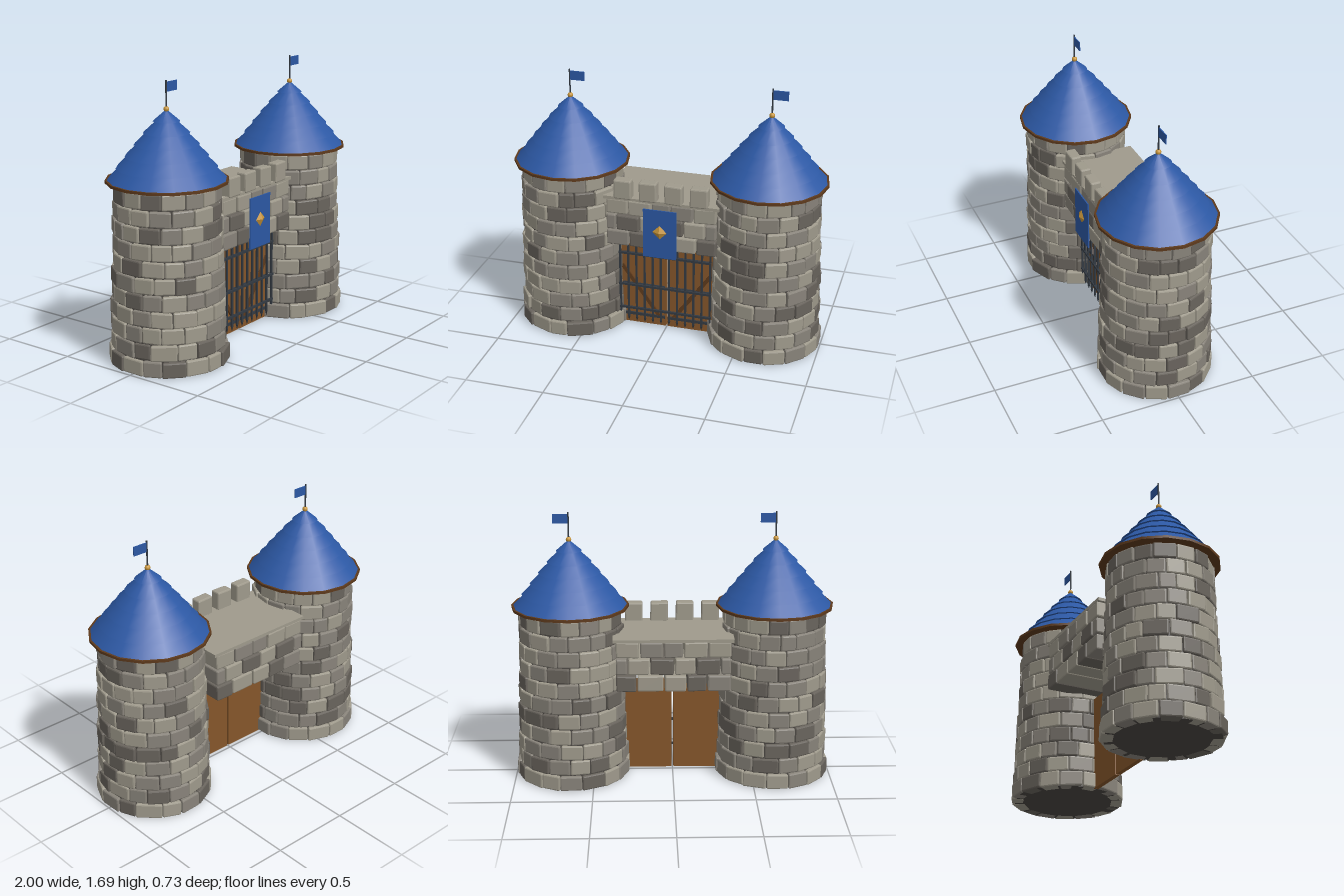
import * as THREE from 'three';
import { mergeGeometries } from 'three/addons/utils/BufferGeometryUtils.js';
import { RoundedBoxGeometry } from 'three/addons/geometries/RoundedBoxGeometry.js';

const flat = (name, color) => {
  const m = new THREE.MeshStandardMaterial({ color });
  m.name = name;
  return m;
};

export function createModel() {
  const mats = {
    lightStone: flat('light stone', 0x9f9a8c),
    midStone: flat('mid stone', 0x88837a),
    darkStone: flat('dark stone', 0x69645d),
    mortar: flat('dark mortar', 0x4a4642),
    roof: flat('blue', 0x2c58a4),
    trim: flat('dark timber', 0x5e3a1c),
    wood: flat('door wood', 0x85562a),
    iron: flat('iron', 0x333a42),
    gold: flat('gold', 0xc9963a),
  };
  const stoneMats = [mats.lightStone, mats.midStone, mats.darkStone];

  let seed = 7;
  const rand = () => {
    seed = (seed * 16807) % 2147483647;
    return seed / 2147483647;
  };
  const vary = (amount) => (rand() * 2 - 1) * amount;

  const add = (parent, name, geo, mat, x = 0, y = 0, z = 0) => {
    const mesh = new THREE.Mesh(geo, mat);
    mesh.name = name;
    mesh.position.set(x, y, z);
    parent.add(mesh);
    return mesh;
  };
  const box = (parent, name, w, h, d, mat, x, y, z) =>
    add(parent, name, new THREE.BoxGeometry(w, h, d), mat, x, y, z);

  // Chamfered stone with slightly skewed faces; wedge narrows it toward its back
  function stone(w, h, d, wedgeRadius = 0) {
    const geo = new RoundedBoxGeometry(w, h, d, 1, 0.009);
    const p = geo.attributes.position;
    const skewX = vary(0.03), skewY = vary(0.04), tilt = vary(0.04);
    for (let i = 0; i < p.count; i++) {
      const x = p.getX(i), y = p.getY(i), z = p.getZ(i);
      const s = wedgeRadius ? 1 + z / wedgeRadius : 1;
      p.setXYZ(i, x * s + y * skewX, y + x * skewY, z + (z > 0 ? x * tilt : 0));
    }
    const out = geo.index ? geo.toNonIndexed() : geo;
    out.computeVertexNormals();
    return out;
  }

  // Collects stones by shade and merges each shade into one mesh
  function stonePile() {
    const piles = [[], [], []];
    return {
      put(geo) {
        const r = rand();
        piles[r < 0.42 ? 0 : r < 0.76 ? 1 : 2].push(geo);
      },
      build(parent, name) {
        piles.forEach((list, i) => {
          if (list.length) add(parent, name, mergeGeometries(list), stoneMats[i]);
        });
      },
    };
  }

  function tower(x, name) {
    const g = new THREE.Group();
    g.name = name;
    g.position.x = x;

    // Stone courses around a dark core
    add(g, 'towerCore', new THREE.CylinderGeometry(0.3, 0.338, 1.09, 32), mats.mortar, 0, 0.55, 0);
    const pile = stonePile();
    const courses = 11, count = 16, courseH = 0.1, depth = 0.08;
    for (let c = 0; c < courses; c++) {
      const outer = (c === 0 ? 0.358 : 0.35 - 0.003 * c);
      const mid = outer - depth / 2;
      const edges = [];
      for (let i = 0; i < count; i++) {
        edges.push((i + (c % 2) * 0.5 + 0.5 + vary(0.13)) * Math.PI * 2 / count);
      }
      edges.push(edges[0] + Math.PI * 2);
      for (let i = 0; i < count; i++) {
        const angle = (edges[i] + edges[i + 1]) / 2;
        const width = 2 * mid * Math.tan((edges[i + 1] - edges[i]) / 2) - 0.005;
        const geo = stone(width, courseH - 0.004 + vary(0.002), depth, mid);
        geo.translate(0, 0.052 + c * courseH * 0.99, mid - 0.003 + vary(0.005));
        geo.rotateY(angle);
        pile.put(geo);
      }
    }
    pile.build(g, 'towerStones');

    // Eave and overlapping roof tiers
    add(g, 'eave', new THREE.CylinderGeometry(0.365, 0.365, 0.016, 16), mats.trim, 0, 1.104, 0);
    const radii = [0.352, 0.3, 0.247, 0.193, 0.138, 0.08];
    const tierH = 0.068;
    radii.forEach((r, i) => {
      const top = i < 5 ? radii[i + 1] - 0.016 : 0.002;
      add(g, 'roofTier', new THREE.CylinderGeometry(top, r, tierH, 16), mats.roof, 0, 1.112 + (i + 0.5) * tierH, 0);
    });

    // Finial, pole and flag
    add(g, 'finial', new THREE.SphereGeometry(0.017, 12, 8), mats.gold, 0, 1.522, 0);
    add(g, 'flagPole', new THREE.CylinderGeometry(0.005, 0.005, 0.16, 8), mats.iron, 0, 1.61, 0);
    box(g, 'flag', 0.092, 0.058, 0.006, mats.roof, 0.05, 1.651, 0);
    return g;
  }

  const model = new THREE.Group();
  model.name = 'castleGate';
  model.add(tower(-0.635, 'rightTower'), tower(0.635, 'leftTower'));

  // Wall over the gate: three rows of deep stones, a walkway and battlements
  const wall = new THREE.Group();
  wall.name = 'gateWall';
  const wallPile = stonePile();
  const half = 0.355, step = half * 2 / 5;
  for (let row = 0; row < 3; row++) {
    const cuts = [-half];
    for (let i = 1; i < 5 + (row % 2); i++) cuts.push(-half + (i - (row % 2) * 0.5) * step + vary(0.015));
    cuts.push(half);
    for (let i = 0; i < cuts.length - 1; i++) {
      const geo = stone(cuts[i + 1] - cuts[i] - 0.008, 0.1, 0.48 + vary(0.008));
      geo.translate((cuts[i] + cuts[i + 1]) / 2, 0.678 + row * 0.108, -0.04);
      wallPile.put(geo);
    }
  }
  wallPile.build(wall, 'wallStones');
  box(wall, 'walkway', 0.74, 0.02, 0.475, mats.lightStone, 0, 0.95, -0.04);
  for (let i = 0; i < 4; i++) {
    add(wall, 'merlon', stone(0.112, 0.125, 0.068), mats.lightStone, (i - 1.5) * 0.162, 1.013, 0.173);
  }
  model.add(wall);

  // Double door with diagonal braces and iron straps
  const doors = new THREE.Group();
  doors.name = 'doors';
  for (const s of [-1, 1]) {
    box(doors, 'doorLeaf', 0.295, 0.6, 0.03, mats.wood, s * 0.1535, 0.303, 0.04);
    const dx = 0.25, dy = 0.35;
    const brace = box(doors, 'doorBrace', Math.hypot(dx, dy), 0.024, 0.012, mats.trim, s * 0.17, 0.245, 0.06);
    brace.rotation.z = s * Math.atan2(dy, dx);
    for (const y of [0.07, 0.29, 0.51]) {
      box(doors, 'doorStrap', 0.28, 0.018, 0.01, mats.iron, s * 0.15, y, 0.064);
    }
  }
  model.add(doors);

  // Portcullis of spiked bars and cross rails
  const grille = new THREE.Group();
  grille.name = 'portcullis';
  for (let i = 0; i < 12; i++) {
    const x = (i - 5.5) * 0.054;
    box(grille, 'portcullisBar', 0.012, 0.56, 0.012, mats.iron, x, 0.345, 0.1);
    const spike = add(grille, 'portcullisSpike', new THREE.ConeGeometry(0.009, 0.03, 4), mats.iron, x, 0.05, 0.1);
    spike.rotation.x = Math.PI;
  }
  for (const y of [0.135, 0.305, 0.53]) {
    box(grille, 'portcullisRail', 0.61, 0.014, 0.014, mats.iron, 0, y, 0.104);
  }
  model.add(grille);

  // Hanging banner with a gold diamond
  box(model, 'banner', 0.212, 0.325, 0.008, mats.roof, 0, 0.748, 0.215);
  const diamond = add(model, 'bannerDiamond', new THREE.OctahedronGeometry(0.046), mats.gold, 0, 0.762, 0.219);
  diamond.scale.z = 0.4;

  return model;
}
